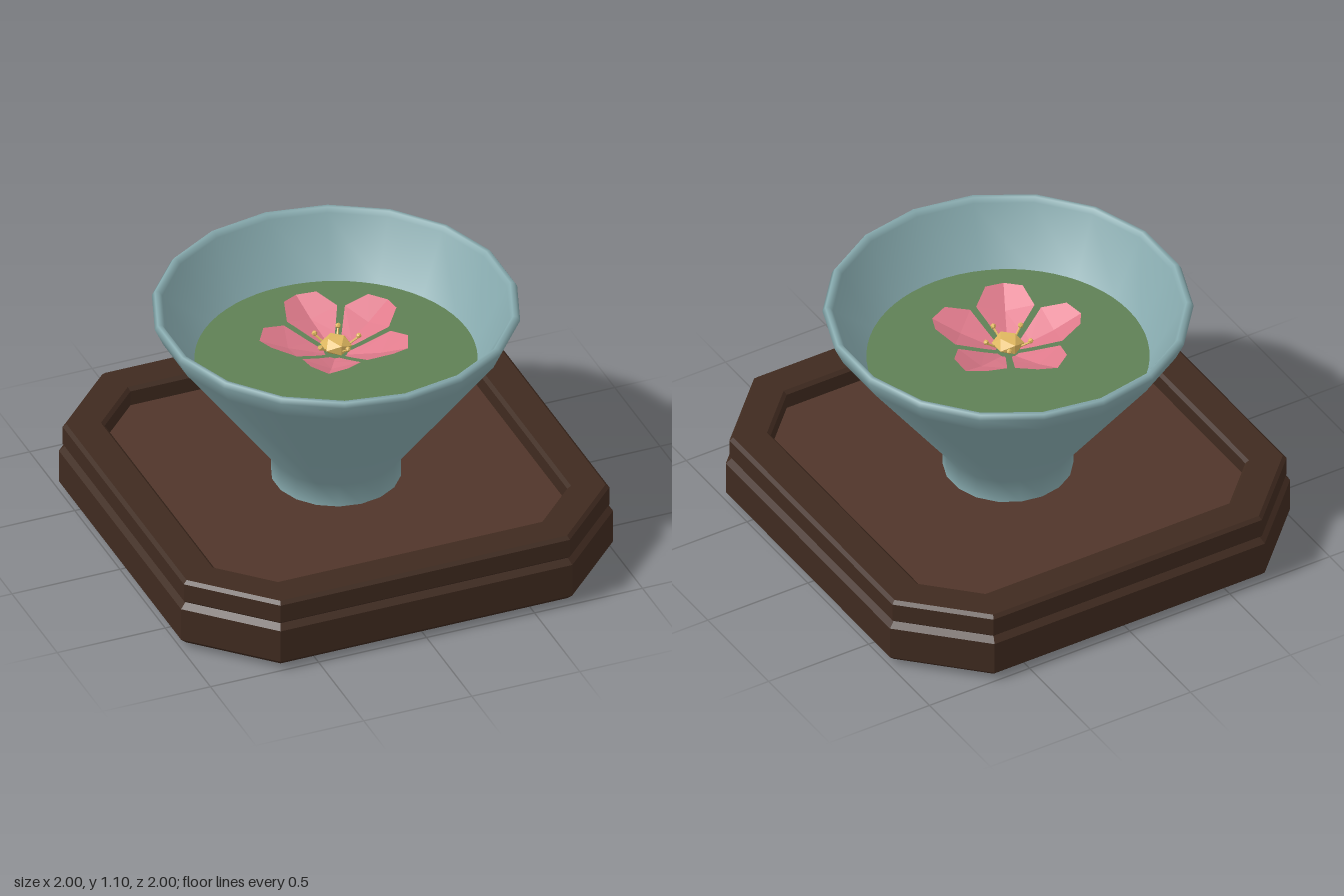
import * as THREE from 'three';

const mat = (color, extra = {}) => new THREE.MeshStandardMaterial({ color, ...extra });

function part(parent, name, geometry, material) {
  const mesh = new THREE.Mesh(geometry, material);
  mesh.name = name;
  parent.add(mesh);
  return mesh;
}

// Square outline of half width h with corners cut by c
function cutSquare(h, c, Type = THREE.Shape) {
  const k = h - c;
  const pts = [[h, -k], [h, k], [k, h], [-k, h], [-h, k], [-h, -k], [-k, -h], [k, -h]];
  return new Type(pts.map(([x, y]) => new THREE.Vector2(x, y)));
}

// Bevelled horizontal slab between two heights
function slab(shape, y0, y1, bevel) {
  const g = new THREE.ExtrudeGeometry(shape, {
    depth: y1 - y0 - 2 * bevel, bevelEnabled: true, bevelSegments: 1,
    bevelThickness: bevel, bevelSize: bevel, bevelOffset: -bevel,
  });
  return g.rotateX(-Math.PI / 2).translate(0, y0 + bevel, 0);
}

// Cupped petal along +x: rows of left edge, low midline, right edge
function petalGeometry() {
  // radius of edge, radius of midline, half width, midline height, edge lift
  const rows = [
    [0.05, 0.05, 0.02, 0.855, 0.005],
    [0.1, 0.1, 0.055, 0.87, 0.015],
    [0.2, 0.21, 0.125, 0.905, 0.035],
    [0.3, 0.335, 0.08, 0.96, 0.01],
  ];
  const pos = [], index = [];
  rows.forEach(([re, rm, w, y, lift], i) => {
    pos.push(re, y + lift, -w, rm, y, 0, re, y + lift, w);
    if (i === 0) return;
    for (let j = 0; j < 2; j++) {
      const a = (i - 1) * 3 + j, b = a + 3;
      index.push(a, a + 1, b, a + 1, b + 1, b);
    }
  });
  const g = new THREE.BufferGeometry();
  g.setAttribute('position', new THREE.Float32BufferAttribute(pos, 3));
  g.setIndex(index);
  g.computeVertexNormals();
  return g;
}

export function createModel() {
  const model = new THREE.Group();
  model.name = 'flowerBowlOnTray';

  const wood = mat(0x3f2a1f, { flatShading: true });
  const panelWood = mat(0x50352a, { flatShading: true });
  const glaze = mat(0x86a9ad, { side: THREE.DoubleSide });
  const pink = mat(0xe07b8c, { flatShading: true, side: THREE.DoubleSide });
  const gold = mat(0xe0b860, { flatShading: true });

  // Tray: lower slab, raised rim, sunken panel, four feet
  const tray = new THREE.Group();
  tray.name = 'tray';
  model.add(tray);
  part(tray, 'traySlab', slab(cutSquare(1, 0.325), 0.02, 0.225, 0.025), wood);
  const rim = cutSquare(0.985, 0.315);
  rim.holes.push(cutSquare(0.815, 0.205, THREE.Path));
  part(tray, 'trayRim', slab(rim, 0.22, 0.335, 0.015), wood);
  const panel = new THREE.ShapeGeometry(cutSquare(0.83, 0.21)).rotateX(-Math.PI / 2);
  part(tray, 'trayPanel', panel, panelWood).position.y = 0.25;
  for (const x of [-1, 1]) for (const z of [-1, 1]) {
    part(tray, 'trayFoot', new THREE.BoxGeometry(0.22, 0.03, 0.22), wood)
      .position.set(x * 0.65, 0.015, z * 0.65);
  }

  // Bowl: outside from foot to lip, then down the inside
  const profile = [
    [0.28, 0.25], [0.281, 0.36], [0.756, 1.0], [0.793, 1.08], [0.78, 1.1],
    [0.762, 1.1], [0.748, 1.08], [0.614, 0.825], [0.25, 0.42], [0, 0.4],
  ].map(([r, y]) => new THREE.Vector2(r, y));
  part(model, 'bowl', new THREE.LatheGeometry(profile, 18), glaze);

  // Water surface
  const water = new THREE.CircleGeometry(0.605, 64).rotateX(-Math.PI / 2);
  part(model, 'water', water, mat(0x5f8055)).position.y = 0.825;

  // Flower: five petals, a gold heart and stamens between the petals
  const flower = new THREE.Group();
  flower.name = 'flower';
  model.add(flower);
  const petal = petalGeometry();
  const filament = new THREE.TubeGeometry(new THREE.LineCurve3(
    new THREE.Vector3(0.03, 0.87, 0), new THREE.Vector3(0.1, 0.92, 0)), 1, 0.005, 5);
  const anther = new THREE.IcosahedronGeometry(0.013).translate(0.1, 0.925, 0);
  for (let i = 0; i < 5; i++) {
    const angle = THREE.MathUtils.degToRad(98 - 72 * i);
    part(flower, 'petal', petal, pink).rotation.y = angle;
    const between = angle - Math.PI / 5;
    part(flower, 'filament', filament, gold).rotation.y = between;
    part(flower, 'anther', anther, gold).rotation.y = between;
  }
  const heart = part(flower, 'flowerHeart', new THREE.IcosahedronGeometry(0.07), gold);
  heart.scale.y = 0.6;
  heart.position.y = 0.895;

  return model;
}
